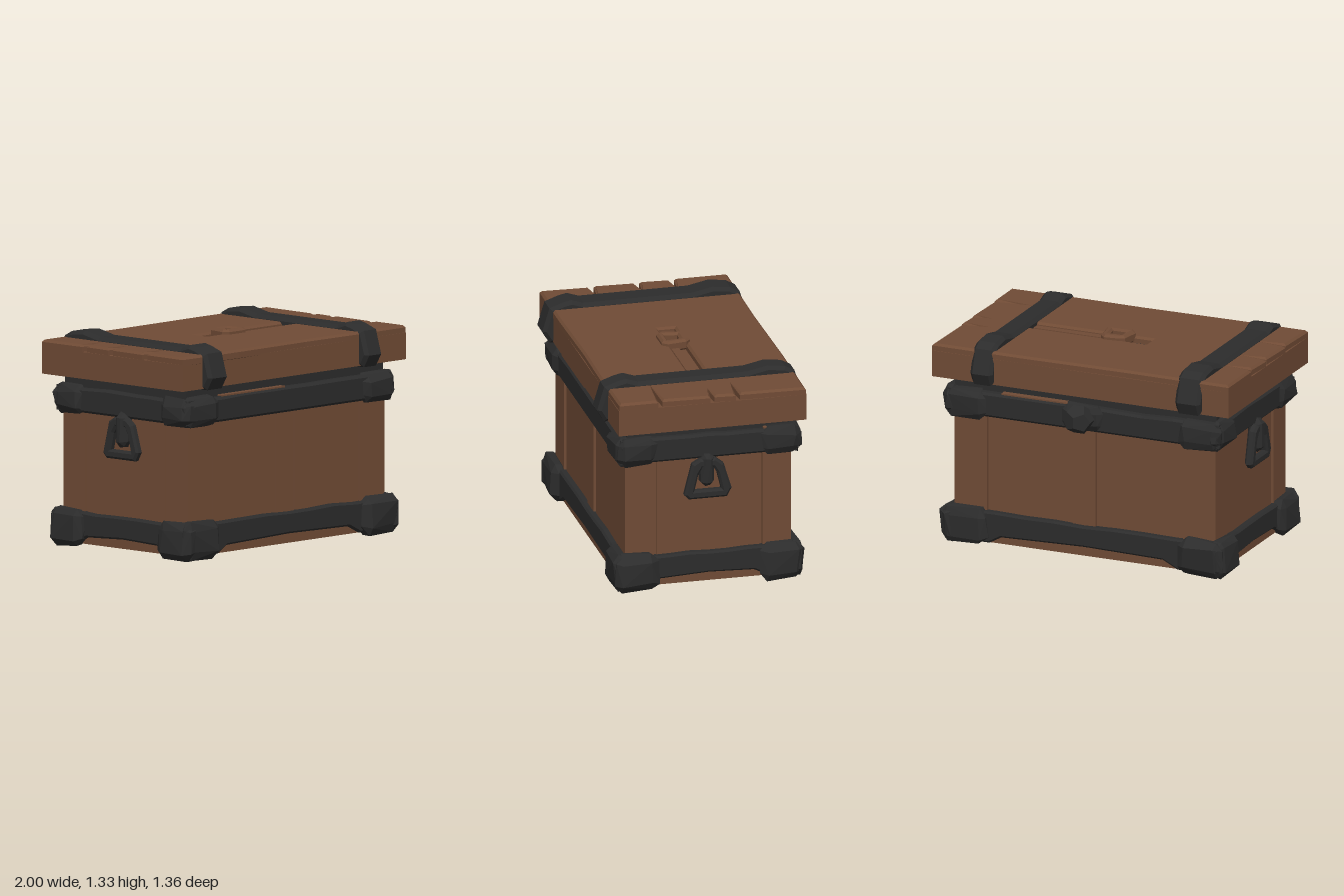
import * as THREE from 'three';
import { ConvexGeometry } from 'three/addons/geometries/ConvexGeometry.js';

const wood = new THREE.MeshStandardMaterial({ color: 0x704b35, flatShading: true });
wood.name = 'brown wood';
const iron = new THREE.MeshStandardMaterial({ color: 0x2c2c2c, flatShading: true });
iron.name = 'black iron';

const HX = 0.88, HZ = 0.525; // half width and half depth of the body

let seed = 7;
const rand = () => {
  seed = (seed * 16807) % 2147483647;
  return seed / 2147483647 - 0.5;
};

function add(parent, name, geometry, material) {
  const mesh = new THREE.Mesh(geometry, material);
  mesh.name = name;
  parent.add(mesh);
  return mesh;
}

// Box given by its limits on each axis
function box(x0, x1, y0, y1, z0, z1) {
  return new THREE.BoxGeometry(x1 - x0, y1 - y0, z1 - z0)
    .translate((x0 + x1) / 2, (y0 + y1) / 2, (z0 + z1) / 2);
}

// Rough hammered lump: a box with cut corners, slightly irregular
function lump(x0, x1, y0, y1, z0, z1, cut, jitter) {
  const c = [(x0 + x1) / 2, (y0 + y1) / 2, (z0 + z1) / 2];
  const h = [(x1 - x0) / 2, (y1 - y0) / 2, (z1 - z0) / 2];
  const pts = [];
  for (const sx of [-1, 1]) for (const sy of [-1, 1]) for (const sz of [-1, 1]) {
    for (let full = 0; full < 3; full++) {
      const p = [sx, sy, sz].map((s, i) =>
        c[i] + s * (h[i] - (i === full ? 0 : Math.min(cut, h[i] * 0.6))) + rand() * jitter);
      pts.push(new THREE.Vector3(...p));
    }
  }
  return new ConvexGeometry(pts);
}

const toShape = (pts) => new THREE.Shape(pts.map(([x, y]) => new THREE.Vector2(x, y)));

// Plate of a given total depth along z, with bevelled edges kept inside the outline
function plate(pts, depth, bevel, hole) {
  const shape = toShape(pts);
  if (hole) shape.holes.push(new THREE.Path(hole.map(([x, y]) => new THREE.Vector2(x, y))));
  return new THREE.ExtrudeGeometry(shape, {
    depth: depth - 2 * bevel, bevelEnabled: bevel > 0, bevelThickness: bevel,
    bevelSize: bevel, bevelOffset: -bevel, bevelSegments: 1,
  }).translate(0, 0, bevel);
}

// Iron band for one side; the lower one is worn away along its underside
function bandOutline(half, y0, y1, worn) {
  const pts = [[-half, y0]];
  if (worn) {
    const w = half * 0.7;
    pts.push([-w, y0], [-w + 0.08, y0 + 0.045], [0, y0 + 0.06], [w - 0.1, y0 + 0.05], [w, y0]);
  }
  pts.push([half, y0], [half, y1]);
  for (let i = 3; i > -4; i--) pts.push([half * i * 0.22, y1 + rand() * 0.012]);
  pts.push([-half, y1]);
  return pts;
}

function makeBody() {
  const body = new THREE.Group();
  body.name = 'body';
  add(body, 'core', box(-HX + 0.025, HX - 0.025, 0.03, 0.99, -HZ + 0.025, HZ - 0.025), wood);
  add(body, 'floor', box(-HX - 0.005, HX + 0.005, 0.018, 0.1, -HZ - 0.01, HZ + 0.01), wood);

  // Corner posts
  for (const sx of [-1, 1]) for (const sz of [-1, 1]) {
    const wingX = add(body, 'cornerPost', box(0.66, HX, 0.05, 0.97, HZ - 0.05, HZ), wood);
    const wingZ = add(body, 'cornerPost', box(HX - 0.05, HX, 0.05, 0.97, HZ - 0.18, HZ - 0.002), wood);
    for (const wing of [wingX, wingZ]) wing.rotation.y = sx === sz ? (sx < 0 ? Math.PI : 0) : 0;
    if (sx !== sz) { // mirror across x without turning the faces inside out
      for (const wing of [wingX, wingZ]) {
        wing.geometry.computeBoundingBox();
        const mid = wing.geometry.boundingBox.getCenter(new THREE.Vector3());
        wing.geometry.translate((sx - 1) * mid.x, 0, (sz - 1) * mid.z);
      }
    }
  }

  // Planks and iron bands on the four sides
  const sides = [[0, HX, HZ], [Math.PI, HX, HZ], [Math.PI / 2, HZ, HX], [-Math.PI / 2, HZ, HX]];
  sides.forEach(([turn, half, out], i) => {
    const side = new THREE.Group();
    side.name = ['frontSide', 'backSide', 'leftSide', 'rightSide'][i];
    side.rotation.y = turn;
    body.add(side);
    const planks = i < 2
      ? [[-0.64, -0.085, 0.012], [-0.085, 0.07, 0.003], [0.092, 0.66, 0.012]]
      : [[-0.325, 0.325, 0.01]];
    for (const [a, b, sunk] of planks) {
      add(side, 'plank', box(a, b, 0.05, 0.97, out - 0.05, out - sunk), wood);
    }
    const lower = plate(bandOutline(half + 0.025, 0.018, 0.215, true), 0.06, 0.012);
    add(side, 'lowerBand', lower.translate(0, 0, out - 0.028), iron);
    const upper = plate(bandOutline(half + 0.035, 0.835, 0.99, false), 0.08, 0.015);
    add(side, 'upperBand', upper.translate(0, 0, out - 0.04), iron);
  });

  // Forged corner pieces, two wings each
  for (const sx of [-1, 1]) for (const sz of [-1, 1]) {
    for (const [name, y0, y1, grow] of [['lowerCorner', 0.003, 0.232, 0.078], ['upperCorner', 0.82, 1.0, 0.062]]) {
      const span = (s, a, b) => (s > 0 ? [a, b] : [-b, -a]);
      const ex = HX + grow, ez = HZ + grow;
      add(body, name, lump(...span(sx, 0.645, ex - 0.01), y0, y1, ...span(sz, HZ - 0.035, ez), 0.045, 0.022), iron);
      add(body, name, lump(...span(sx, HX - 0.035, ex), y0, y1, ...span(sz, HZ - 0.2, ez - 0.01), 0.045, 0.022), iron);
    }
  }

  // Dark rim under the lid, with bare wood showing along worn edges
  add(body, 'rim', box(-HX, HX, 0.97, 1.06, -HZ + 0.012, HZ - 0.012), iron);
  add(body, 'wornEdge', box(-0.6, -0.04, 0.99, 0.999, HZ - 0.02, HZ + 0.03), wood);
  add(body, 'wornEdge', box(0.1, 0.55, 0.99, 0.999, -HZ - 0.03, -HZ + 0.02), wood);
  add(body, 'wornEdge', box(HX - 0.02, HX + 0.025, 0.99, 0.999, -HZ + 0.02, -HZ + 0.18), wood);

  // Faceted knob on the back
  const knob = new THREE.DodecahedronGeometry(0.1).scale(1, 0.95, 0.92);
  add(body, 'backKnob', knob.translate(0, 0.925, -HZ - 0.09), iron);
  add(body, 'knobBase', lump(-0.14, 0.14, 0.84, 1.0, -HZ - 0.065, -HZ + 0.02, 0.04, 0.015), iron);
  return body;
}

// Hanging handle, drawn facing +z
function makeHandle(name) {
  const handle = new THREE.Group();
  handle.name = name;
  const ring = [[-0.15, 0.61], [-0.12, 0.58], [0.12, 0.58], [0.15, 0.635], [0.1, 0.8],
    [0.05, 0.84], [-0.05, 0.84], [-0.1, 0.81]];
  const hole = [[-0.085, 0.635], [0.085, 0.635], [0.06, 0.74], [0.035, 0.78], [-0.035, 0.78], [-0.06, 0.74]];
  add(handle, 'ring', plate(ring, 0.055, 0.014, hole).translate(0, 0, HX + 0.015), iron);
  add(handle, 'hinge', lump(-0.045, 0.045, 0.66, 0.87, HX - 0.02, HX + 0.08, 0.03, 0.012), iron);
  return handle;
}

function makeLid() {
  const lid = new THREE.Group();
  lid.name = 'lid';
  const W = 1, D = 0.595;
  // Outline seen from above, split by cracks at both ends
  const outline = [[-W, -D], [-0.5, -D - 0.003], [0.1, -D + 0.006], [0.5, -D], [W, -D + 0.004]];
  for (const [y, deep] of [[-0.33, 0.25], [0.0, 0.12], [0.16, 0.18]]) {
    outline.push([W, y - 0.014], [W - deep, y], [W - 0.01, y + 0.014]);
  }
  outline.push([W, D - 0.006], [0.4, D], [-0.3, D - 0.008], [-W, D]);
  for (const [y, deep] of [[0.24, 0.17], [0.02, 0.16], [-0.27, 0.2]]) {
    outline.push([-W, y + 0.016], [-W + deep, y], [-W + 0.012, y - 0.016]);
  }
  const slot = [[-0.2, -0.045], [0.6, -0.045], [0.6, 0.06], [-0.2, 0.06]];
  const lay = (g, y) => g.rotateX(-Math.PI / 2).translate(0, y, 0);
  add(lid, 'lidBoard', box(-W, W, 1.062, 1.228, -D, D), wood);
  add(lid, 'lidTop', lay(plate(outline, 0.065, 0.014, slot), 1.208), wood);
  add(lid, 'lidUnderside', box(-W + 0.03, W - 0.03, 1.056, 1.063, -D + 0.03, D - 0.03), iron);
  add(lid, 'slotPlate', box(-0.19, -0.08, 1.226, 1.234, -0.05, 0.035), iron);
  add(lid, 'slotPlate', box(0.5, 0.6, 1.226, 1.234, -0.05, 0.0), iron);

  // Slot bar and wooden clasp
  add(lid, 'slotBar', box(0.02, 0.58, 1.22, 1.255, -0.01, 0.04), wood);
  const clasp = [[-0.1, -0.06], [-0.07, -0.095], [0.07, -0.095], [0.1, -0.06], [0.08, 0.06],
    [0.05, 0.088], [-0.05, 0.078], [-0.08, 0.055]];
  const claspHole = [[-0.05, -0.05], [0.05, -0.05], [0.04, 0.03], [-0.04, 0.03]];
  add(lid, 'clasp', lay(plate(clasp, 0.07, 0.014, claspHole), 1.232).translate(0.02, 0, 0), wood);

  // Straps bent over the lid
  const profile = [[0.615, 1.054], [0.66, 1.13], [0.615, 1.28], [0.53, 1.31], [0.475, 1.322], [0.4, 1.297],
    [-0.29, 1.298], [-0.42, 1.325], [-0.53, 1.312], [-0.59, 1.28], [-0.64, 1.13], [-0.605, 1.054]];
  for (const [x0, x1] of [[-0.82, -0.65], [0.58, 0.73]]) {
    const strap = plate(profile, x1 - x0, 0.022).rotateY(-Math.PI / 2).translate(x1, 0, 0);
    add(lid, 'lidStrap', strap, iron);
  }
  return lid;
}

export function createModel() {
  const chest = new THREE.Group();
  chest.name = 'chest';
  chest.add(makeBody(), makeLid());
  for (const s of [-1, 1]) {
    const handle = makeHandle(s > 0 ? 'leftHandle' : 'rightHandle');
    handle.rotation.y = s * Math.PI / 2;
    handle.position.z = 0.015;
    chest.add(handle);
  }
  chest.position.z = 0.025;
  const model = new THREE.Group();
  model.name = 'woodenChest';
  model.add(chest);
  return model;
}
